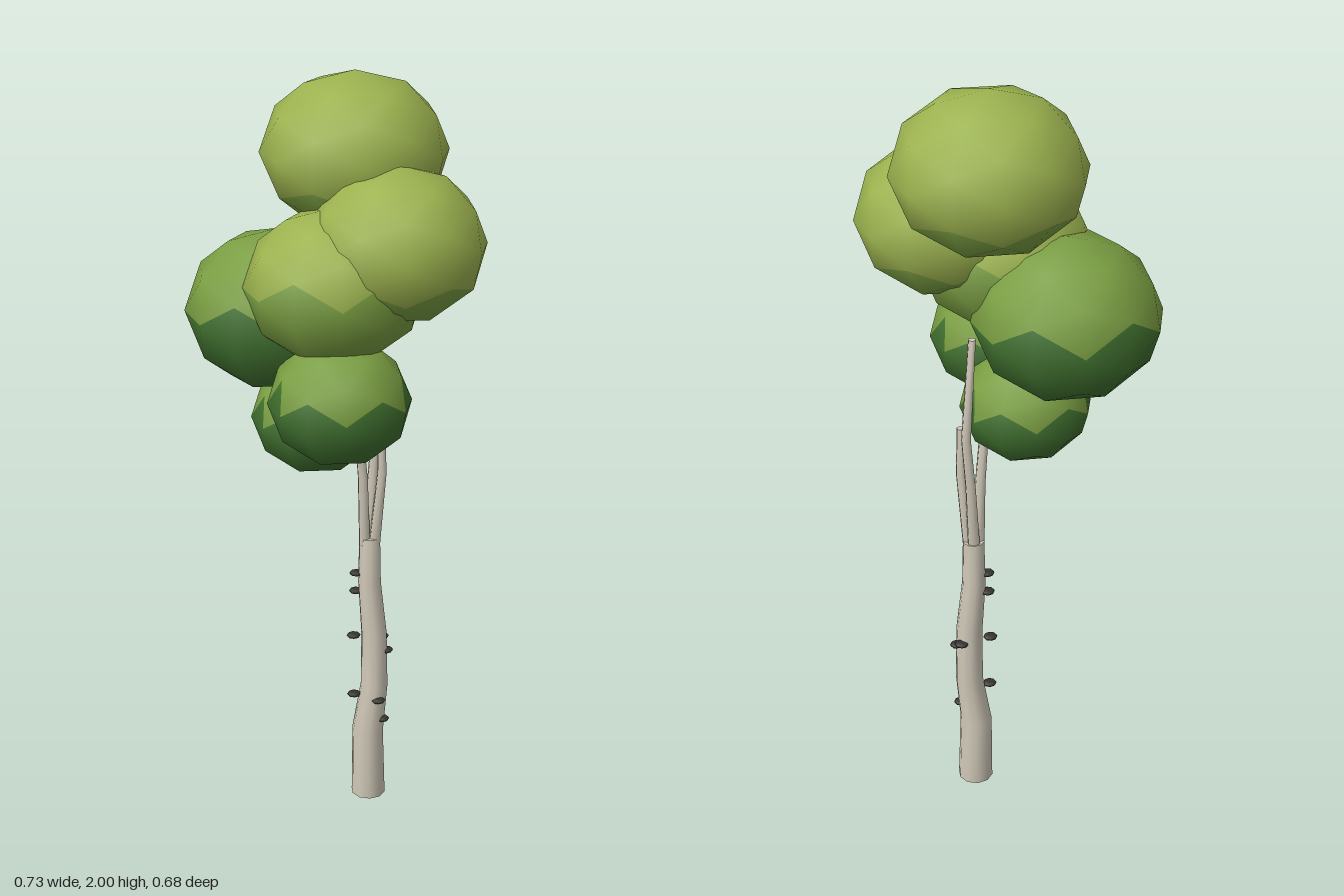
import * as THREE from 'three';

const mat = (color) => new THREE.MeshStandardMaterial({ color, roughness: 0.9 });

// Tapered, bent limb: rings of [x, y, z, radius] joined by quads, capped at both ends
function limb(name, rings, sides, material) {
  const pos = [], idx = [];
  rings.forEach(([x, y, z, r]) => {
    for (let i = 0; i < sides; i++) {
      const a = (i / sides) * Math.PI * 2;
      pos.push(x + r * Math.sin(a), y, z + r * Math.cos(a));
    }
  });
  for (let k = 0; k < rings.length - 1; k++) {
    for (let i = 0; i < sides; i++) {
      const a = k * sides + i, b = k * sides + ((i + 1) % sides);
      idx.push(a, b, b + sides, a, b + sides, a + sides);
    }
  }
  const last = (rings.length - 1) * sides;
  // Cap corners are separate so the side normals stay smooth
  const capStart = pos.length / 3;
  for (const base of [0, last]) {
    for (let i = 0; i < sides; i++) pos.push(...pos.slice((base + i) * 3, (base + i) * 3 + 3));
  }
  for (let i = 1; i < sides - 1; i++) {
    idx.push(capStart, capStart + i + 1, capStart + i);
    idx.push(capStart + sides, capStart + sides + i, capStart + sides + i + 1);
  }
  const g = new THREE.BufferGeometry();
  g.setAttribute('position', new THREE.Float32BufferAttribute(pos, 3));
  g.setIndex(idx);
  g.computeVertexNormals();
  const mesh = new THREE.Mesh(g, material);
  mesh.name = name;
  return mesh;
}

// Leaf clump: squashed low-poly ball whose faces are split into a bright top and a darker underside
function leafClump([x, y, z, r, ry, split], topMat, underMat) {
  const ball = new THREE.IcosahedronGeometry(1, 1);
  const p = ball.attributes.position, n = ball.attributes.normal;
  const parts = { leafTop: [[], [], topMat], leafUnderside: [[], [], underMat] };
  for (let f = 0; f < p.count; f += 3) {
    const mid = (p.getY(f) + p.getY(f + 1) + p.getY(f + 2)) / 3;
    const [pos, nor] = mid > split ? parts.leafTop : parts.leafUnderside;
    for (let i = f; i < f + 3; i++) {
      pos.push(p.getX(i), p.getY(i), p.getZ(i));
      nor.push(n.getX(i), n.getY(i), n.getZ(i));
    }
  }
  const clump = new THREE.Group();
  clump.name = 'leafClump';
  for (const [name, [pos, nor, material]] of Object.entries(parts)) {
    const g = new THREE.BufferGeometry();
    g.setAttribute('position', new THREE.Float32BufferAttribute(pos, 3));
    g.setAttribute('normal', new THREE.Float32BufferAttribute(nor, 3));
    const mesh = new THREE.Mesh(g, material);
    mesh.name = name;
    clump.add(mesh);
  }
  clump.position.set(x, y, z);
  clump.scale.set(r, ry, r);
  return clump;
}

export function createModel() {
  const tree = new THREE.Group();
  tree.name = 'tree';
  const bark = mat(0xd0c8b8), knotMat = mat(0x35332e);
  const light = mat(0x9cb34f), mid = mat(0x7a9e42), dark = mat(0x40702f);

  // Trunk, slightly crooked
  tree.add(limb('trunk', [
    [0.103, 0, -0.07, 0.047], [0.1, 0.2, -0.07, 0.043], [0.117, 0.34, -0.07, 0.037],
    [0.115, 0.5, -0.07, 0.035], [0.102, 0.65, -0.073, 0.031], [0.102, 0.78, -0.076, 0.028],
  ], 10, bark));

  // Branches fanning out into the crown
  const branches = [
    [[0.088, 0.76, -0.07, 0.016], [0.082, 0.95, -0.068, 0.014], [0.066, 1.12, -0.05, 0.012], [0.02, 1.28, -0.01, 0.008]],
    [[0.114, 0.76, -0.07, 0.016], [0.13, 0.97, -0.055, 0.013], [0.128, 1.1, -0.048, 0.01]],
    [[0.102, 0.76, -0.085, 0.017], [0.11, 0.95, -0.092, 0.014], [0.122, 1.1, -0.106, 0.013], [0.1, 1.36, -0.075, 0.01]],
  ];
  branches.forEach((b) => tree.add(limb('branch', b, 6, bark)));

  // Dark knots on the bark
  const knotGeo = new THREE.SphereGeometry(1, 8, 6);
  const knots = [
    [0.067, 0.675, -0.075], [0.067, 0.62, -0.08], [0.062, 0.48, -0.09], [0.14, 0.47, -0.098],
    [0.148, 0.445, -0.065], [0.062, 0.31, -0.07], [0.125, 0.305, -0.036], [0.138, 0.24, -0.05],
  ];
  knots.forEach(([x, y, z]) => {
    const knot = new THREE.Mesh(knotGeo, knotMat);
    knot.name = 'knot';
    knot.position.set(x, y, z);
    knot.scale.set(0.019, 0.008, 0.017);
    tree.add(knot);
  });

  // Crown: x, y, z, radius, half height, height of the colour change
  const upper = [
    [0.06, 1.805, -0.107, 0.234, 0.195, -0.35],
    [0.143, 1.62, 0.085, 0.219, 0.192, -0.35],
    [-0.005, 1.52, 0.075, 0.222, 0.192, 0.1],
  ];
  const lower = [
    [-0.13, 1.415, -0.088, 0.236, 0.205, 0.1],
    [0, 1.255, 0.163, 0.176, 0.157, 0.2],
    [-0.04, 1.15, -0.025, 0.167, 0.148, 0.2],
  ];
  upper.forEach((c) => tree.add(leafClump(c, light, mid)));
  lower.forEach((c) => tree.add(leafClump(c, mid, dark)));
  return tree;
}
